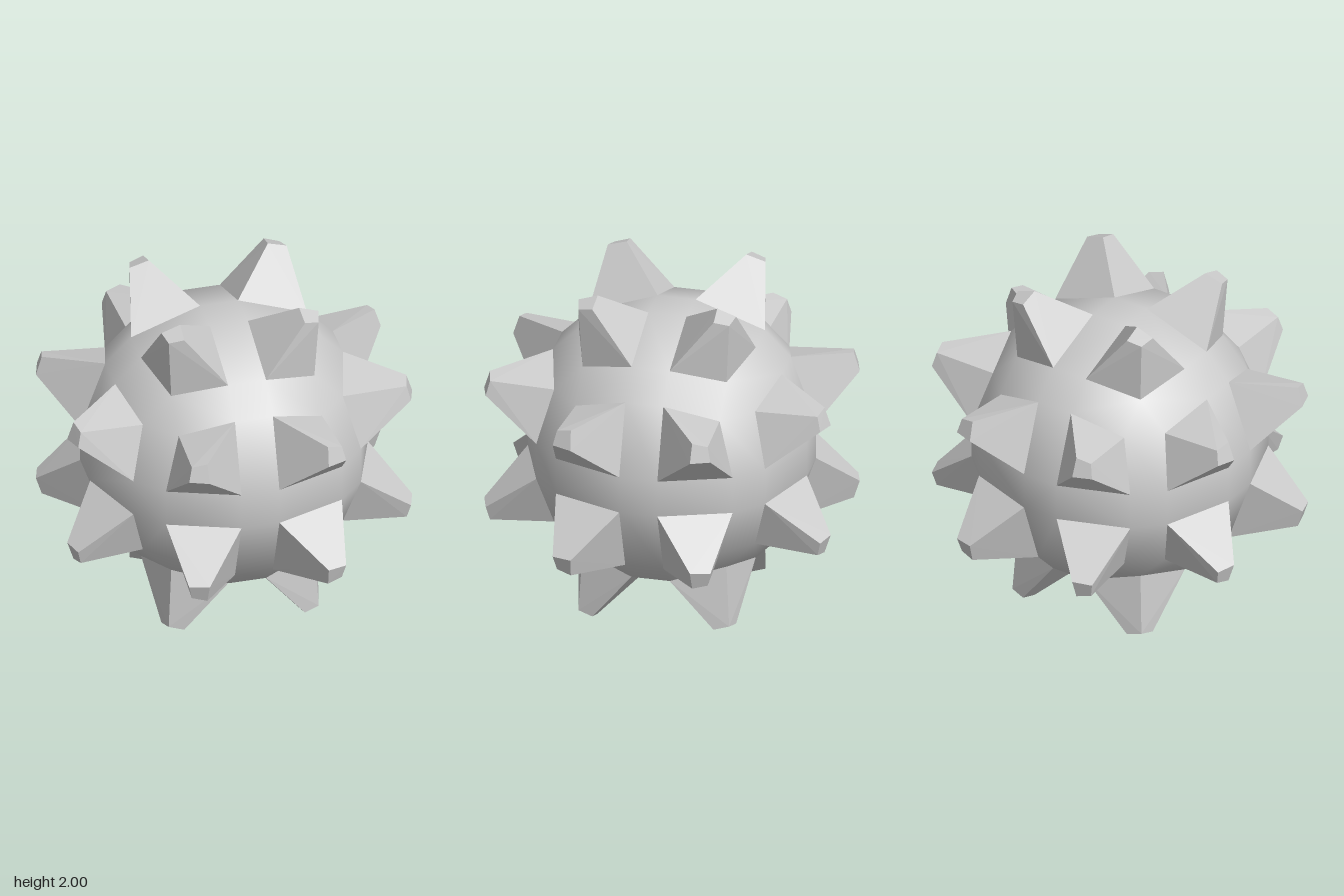
import * as THREE from 'three';
import { ConvexGeometry } from 'three/addons/geometries/ConvexGeometry.js';

// One spike in the frame of a cube face: [across, across, outward]
const BASE = [[0.11, 0.11, 0.805], [0.51, 0.11, 0.66], [0.415, 0.415, 0.58], [0.11, 0.51, 0.66]];
const TIP = [[0.345, 0.345, 1], [0.455, 0.35, 0.965], [0.435, 0.435, 0.945], [0.35, 0.455, 0.965]];

// Place a point on one of the six faces, in one of its four quadrants
function place([u, v, w], axis, side, su, sv) {
  const p = [0, 0, 0];
  p[axis] = w * side;
  p[(axis + 1) % 3] = u * su;
  p[(axis + 2) % 3] = v * sv;
  return new THREE.Vector3(...p);
}

export function createModel() {
  const model = new THREE.Group();
  model.name = 'spikedBall';
  const material = new THREE.MeshStandardMaterial({ color: 0xcccccc });
  const spikes = new THREE.Group();
  spikes.name = 'spikes';
  const bodyPoints = [];

  // Four spikes on each of six faces
  for (const axis of [0, 1, 2]) {
    for (const side of [-1, 1]) for (const su of [-1, 1]) for (const sv of [-1, 1]) {
      const at = (p) => place(p, axis, side, su, sv);
      bodyPoints.push(...BASE.map(at));
      const spike = new THREE.Mesh(new ConvexGeometry([...BASE, ...TIP].map(at)), material);
      spike.name = 'spike';
      spikes.add(spike);
    }
  }

  // Coarse rounded body spanning all spike bases, with smooth radial normals
  const bodyGeometry = new ConvexGeometry(bodyPoints);
  const position = bodyGeometry.attributes.position;
  const n = new THREE.Vector3();
  for (let i = 0; i < position.count; i++) {
    n.fromBufferAttribute(position, i).normalize();
    bodyGeometry.attributes.normal.setXYZ(i, n.x, n.y, n.z);
  }
  const body = new THREE.Mesh(bodyGeometry, material);
  body.name = 'body';

  model.add(body, spikes);
  model.position.y = 1;
  return model;
}
